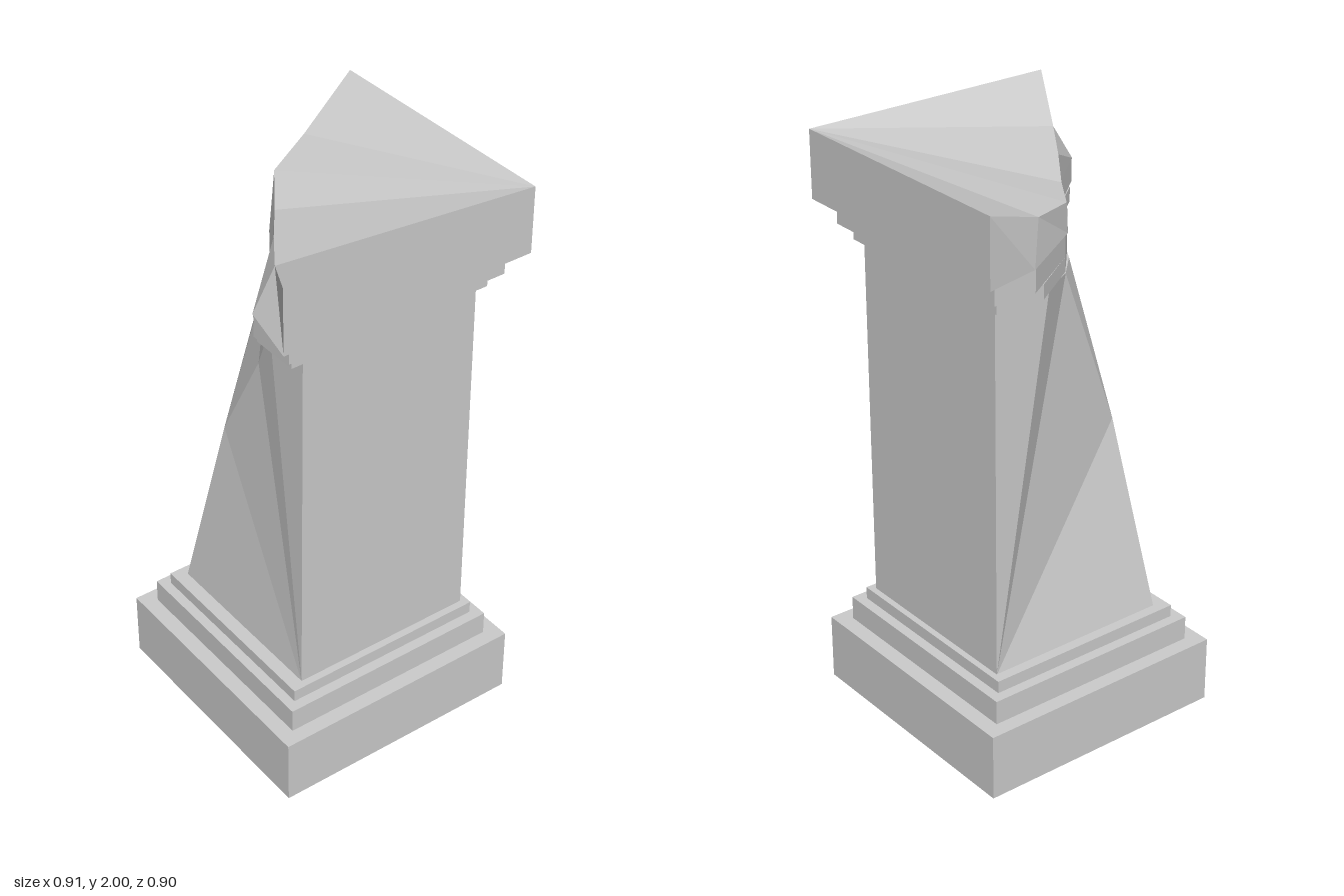
import * as THREE from 'three';

const material = new THREE.MeshStandardMaterial({ color: 0xcccccc, flatShading: true });

// Flat facets from point triples, each turned to face away from the centre.
function facets(name, centre, tris) {
  const c = new THREE.Vector3(...centre);
  const points = [];
  for (const tri of tris) {
    const [p, q, r] = tri.map((v) => new THREE.Vector3(...v));
    const normal = q.clone().sub(p).cross(r.clone().sub(p));
    if (normal.lengthSq() < 1e-12) continue;
    points.push(...(normal.dot(p.clone().sub(c)) > 0 ? [p, q, r] : [p, r, q]));
  }
  const geometry = new THREE.BufferGeometry().setFromPoints(points);
  geometry.computeVertexNormals();
  const mesh = new THREE.Mesh(geometry, material);
  mesh.name = name;
  return mesh;
}

const fan = (apex, rim) => rim.slice(1).map((p, i) => [apex, rim[i], p]);
const strip = (a, b) => a.slice(1).flatMap((p, i) => [[a[i], p, b[i + 1]], [a[i], b[i + 1], b[i]]]);

// Horizontal slab with an outline given as [x, z] pairs.
function slab(name, outline, y0, y1) {
  const shape = new THREE.Shape(outline.map(([x, z]) => new THREE.Vector2(x, -z)));
  const geometry = new THREE.ExtrudeGeometry(shape, { depth: y1 - y0, bevelEnabled: false });
  geometry.rotateX(-Math.PI / 2).translate(0, y0, 0);
  const mesh = new THREE.Mesh(geometry, material);
  mesh.name = name;
  return mesh;
}

export function createModel() {
  const group = new THREE.Group();

  // Stepped square base
  [[0.457, 0.452, 0, 0.235], [0.402, 0.4, 0.235, 0.32], [0.367, 0.364, 0.32, 0.363]].forEach(([w, d, y0, y1], i) => {
    group.add(slab(`baseStep${i + 1}`, [[-w, d], [w, d], [w, -d], [-w, -d]], y0, y1));
  });

  // Shaft, with the back right corner sheared away
  const y0 = 0.36, y1 = 1.645;
  const backLeft = [0.345, y0, -0.328], backRight = [-0.32, y0, -0.328];
  const frontRight = [-0.32, y0, 0.338], frontLeft = [0.345, y0, 0.338];
  const frontLeftTop = [0.345, y1, 0.338];
  const rim = [
    [0.345, y1, -0.328], [0.14, y1, -0.328], [0, 1.63, -0.235], [-0.1, 1.62, -0.13],
    [-0.245, 1.62, 0.1], [-0.31, y1, 0.175], [-0.308, y1, 0.338],
  ];
  const chip = [-0.24, 1.04, -0.19], ridge = [-0.225, 1.39, -0.01];
  group.add(facets('brokenShaft', [0.1, 1, 0.1], [
    ...fan(backLeft, [frontLeft, frontLeftTop, rim[0], rim[1], rim[2], chip, backRight]),
    ...fan(frontRight, [backRight, chip, ridge, rim[4], rim[5], rim[6], frontLeftTop, frontLeft]),
    ...fan(chip, [rim[2], rim[3], ridge]),
    [ridge, rim[3], rim[4]],
    ...fan(frontLeftTop, rim),
  ]));

  // Stepped moulding under the capital, broken along the same line
  [[0.367, 0.364, 0.19, 0.19, 1.64, 1.69], [0.402, 0.4, 0.25, 0.225, 1.69, 1.77]].forEach(([w, d, bx, rz, a, b], i) => {
    group.add(slab(`capitalStep${i + 1}`, [
      [-w, d], [w, d], [w, -d], [bx, -d], [0.01, -0.245], [-0.1, -0.12], [-0.235, 0.08], [-w, rz],
    ], a, b));
  });

  // Capital block, split diagonally with a sagging broken edge
  const w = 0.457, d = 0.452, low = 1.77;
  const upper = [
    [w, 2, -d], [0.2, 1.9, -0.35], [0.02, 1.873, -0.26], [-0.1, 1.856, -0.09],
    [-0.21, 1.877, 0.06], [-0.32, 1.9, 0.22], [-w, 2, d],
  ];
  const lower = [
    [w, low, -d], [0.26, low, -0.41], [0.01, low, -0.255], [-0.1, low, -0.12],
    [-0.235, low, 0.08], [-0.405, low, 0.225], [-w, low, d],
  ];
  const top = [w, 2, d], bottom = [w, low, d];
  group.add(facets('brokenCapital', [0.2, 1.82, 0.2], [
    ...fan(top, upper),
    ...fan(bottom, lower),
    ...strip(upper, lower),
    ...strip([upper[6], top, upper[0]], [lower[6], bottom, lower[0]]),
  ]));

  return group;
}
